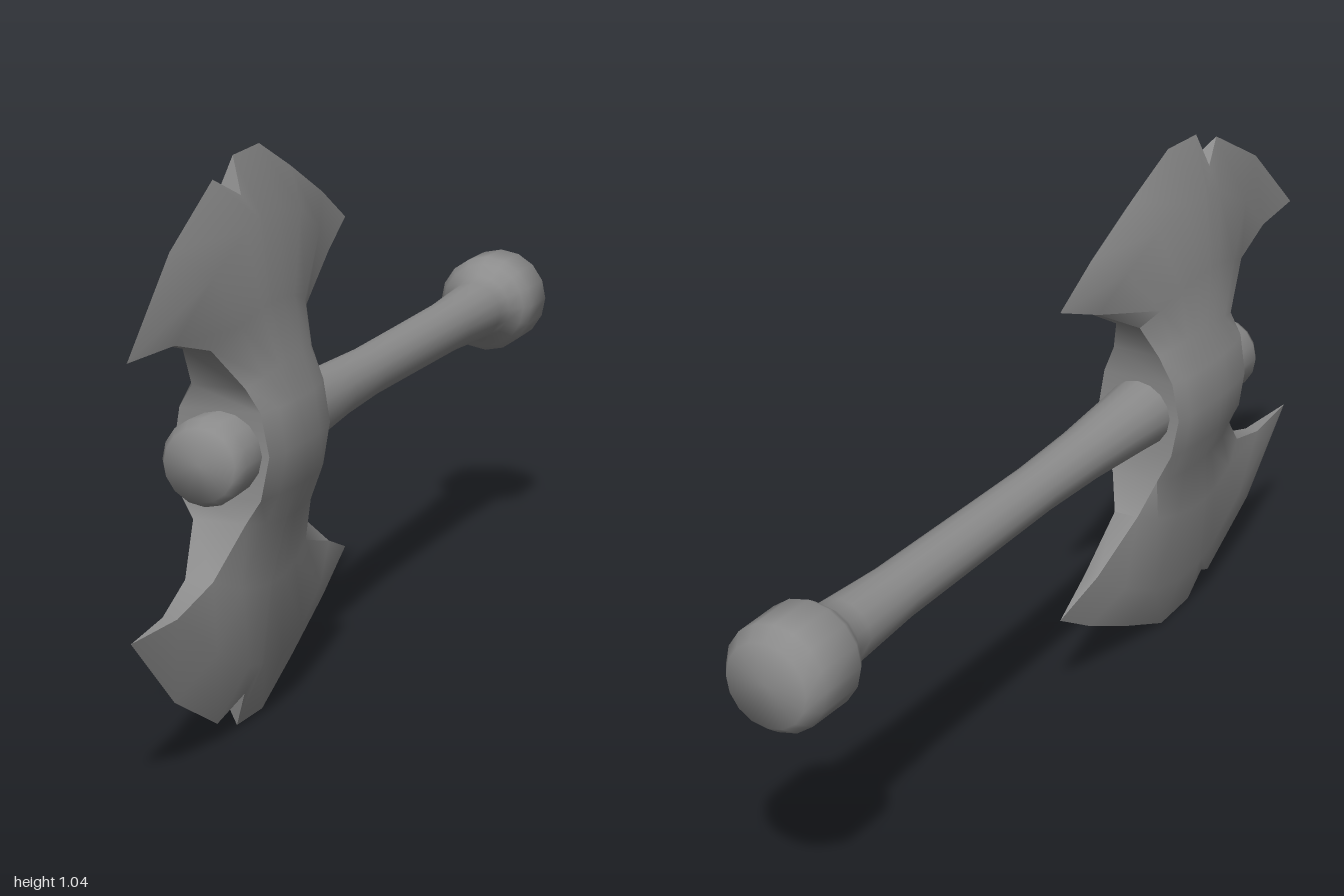
import * as THREE from 'three';
import { toCreasedNormals } from 'three/addons/utils/BufferGeometryUtils.js';

const CENTER_Y = 0.517;
const CREASE = 1.25;
const lerp = THREE.MathUtils.lerp;

// Cutting edge of the upper blade, back tip to front tip:
// [z, height above the handle axis, half thickness (only the notch floor is blunt)]
const EDGE = [
  [0, 0.322, 0], [0.12, 0.387, 0], [0.28, 0.458, 0], [0.43, 0.518, 0], [0.55, 0.513, 0],
  [0.567, 0.447, 0.022], [0.64, 0.483, 0], [0.825, 0.388, 0], [1, 0.235, 0],
];

// Rows from the socket out to the horns:
// back end [z, h], front end [z, h], upward bulge, half thickness at the middle and at the ends
const ROWS = [
  { back: [0.318, 0], front: [0.612, 0], bulge: 0, mid: 0.105, end: 0.09 },
  { back: [0.315, 0.078], front: [0.617, 0.078], bulge: 0, mid: 0.094, end: 0.076 },
  { back: [0.305, 0.135], front: [0.622, 0.12], bulge: 0.015, mid: 0.07, end: 0.05 },
  { back: [0.27, 0.203], front: [0.715, 0.203], bulge: 0.05, mid: 0.056, end: 0.026 },
  { back: [0.125, 0.278], front: [0.84, 0.235], bulge: 0.15, mid: 0.041, end: 0.014 },
];

// One closed cross-section: out along the +x side, back along the -x side
function section(row, sign) {
  const side = EDGE.map(([t, edgeH, edgeX]) => {
    if (!row) return [edgeX, sign * edgeH, t];
    const h = lerp(row.back[1], row.front[1], t) + row.bulge * 4 * t * (1 - t);
    const x = lerp(row.end, row.mid, Math.sqrt(Math.max(0, Math.sin(Math.PI * t))));
    return [x, sign * h, lerp(row.back[0], row.front[0], t)];
  });
  return [...side, ...side.map(([x, y, z]) => [-x, y, z]).reverse()];
}

function headGeometry() {
  const upper = [...ROWS, null];
  const loops = [
    ...upper.slice(1).reverse().map((r) => section(r, -1)),
    ...upper.map((r) => section(r, 1)),
  ];
  const n = loops[0].length;
  const index = [];
  const quad = (a, b, c, d) => index.push(a, b, c, a, c, d);
  for (let j = 0; j < loops.length - 1; j++) {
    for (let i = 0; i < n; i++) {
      const k = (i + 1) % n;
      quad(j * n + i, (j + 1) * n + i, (j + 1) * n + k, j * n + k);
    }
  }
  // Close the blunt floor of both notches
  const top = (loops.length - 1) * n;
  for (const i of [4, 5]) {
    const m = n - 1 - i;
    quad(top + i, top + m, top + m - 1, top + i + 1);
    quad(i, i + 1, m - 1, m);
  }
  const geo = new THREE.BufferGeometry();
  geo.setAttribute('position', new THREE.Float32BufferAttribute(loops.flat(2), 3));
  geo.setIndex(index);
  return toCreasedNormals(geo, CREASE);
}

// Turned part lying along z, from [radius, z] pairs
function turned(profile) {
  const geo = new THREE.LatheGeometry(profile.map(([r, z]) => new THREE.Vector2(r, z)), 16);
  geo.rotateX(Math.PI / 2);
  return toCreasedNormals(geo, CREASE);
}

export function createModel() {
  const group = new THREE.Group();
  const material = new THREE.MeshStandardMaterial({ color: 0x8c8c8c });
  const add = (name, geo) => {
    const mesh = new THREE.Mesh(geo, material);
    mesh.name = name;
    mesh.position.y = CENTER_Y;
    group.add(mesh);
  };

  // Double-bladed head with notched cutting edges
  add('axeHead', headGeometry());

  // Waisted shaft with pommel at the back and a rounded stub in front of the head
  add('handle', turned([
    [0, -1], [0.08, -1], [0.101, -0.97], [0.102, -0.865], [0.09, -0.845],
    [0.068, -0.815], [0.062, -0.77], [0.053, -0.6], [0.05, -0.25], [0.049, -0.1],
    [0.054, 0.08], [0.064, 0.24], [0.07, 0.32], [0.076, 0.6], [0.079, 0.685],
    [0.066, 0.71], [0, 0.712],
  ]));

  return group;
}
